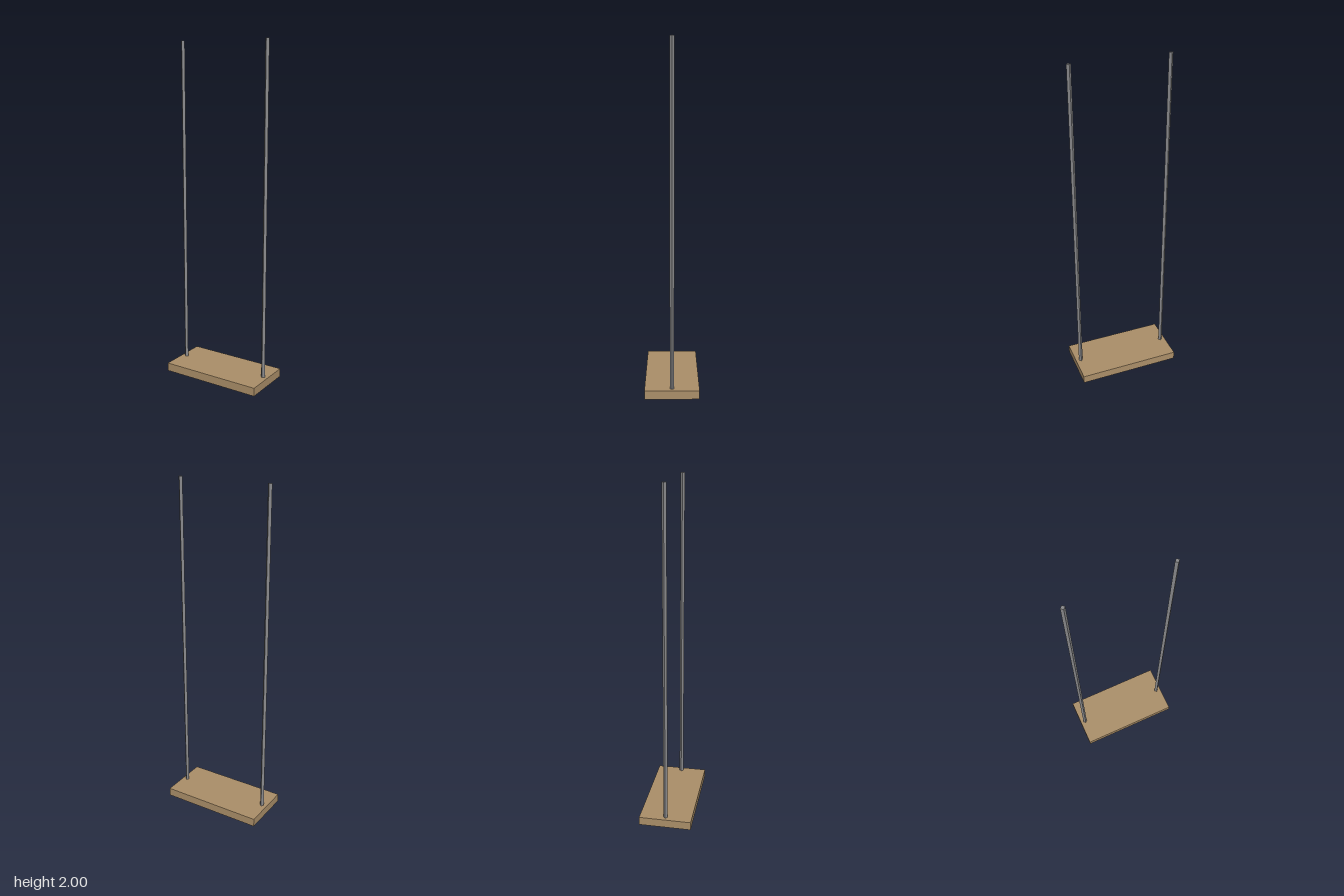
import * as THREE from 'three';

export function createModel() {
  const model = new THREE.Group();
  model.name = 'swing';

  const wood = new THREE.MeshStandardMaterial({ color: 0xab8f69 });
  wood.name = 'wood';
  const rope = new THREE.MeshStandardMaterial({ color: 0x8a8a8c, flatShading: true });
  rope.name = 'grey rope';

  // Plank seat
  const seatHeight = 0.05;
  const seat = new THREE.Mesh(new THREE.BoxGeometry(0.624, seatHeight, 0.312), wood);
  seat.name = 'seat';
  seat.position.y = seatHeight / 2;
  model.add(seat);

  // Four-sided ropes, set into the middle of the seat's thickness
  const bottom = seatHeight / 2;
  const ropeGeometry = new THREE.CylinderGeometry(0.0125, 0.0125, 2 - bottom, 4);
  for (const [name, side] of [['leftRope', 1], ['rightRope', -1]]) {
    const mesh = new THREE.Mesh(ropeGeometry, rope);
    mesh.name = name;
    mesh.position.set(side * 0.281, (2 + bottom) / 2, 0);
    model.add(mesh);
  }

  return model;
}
